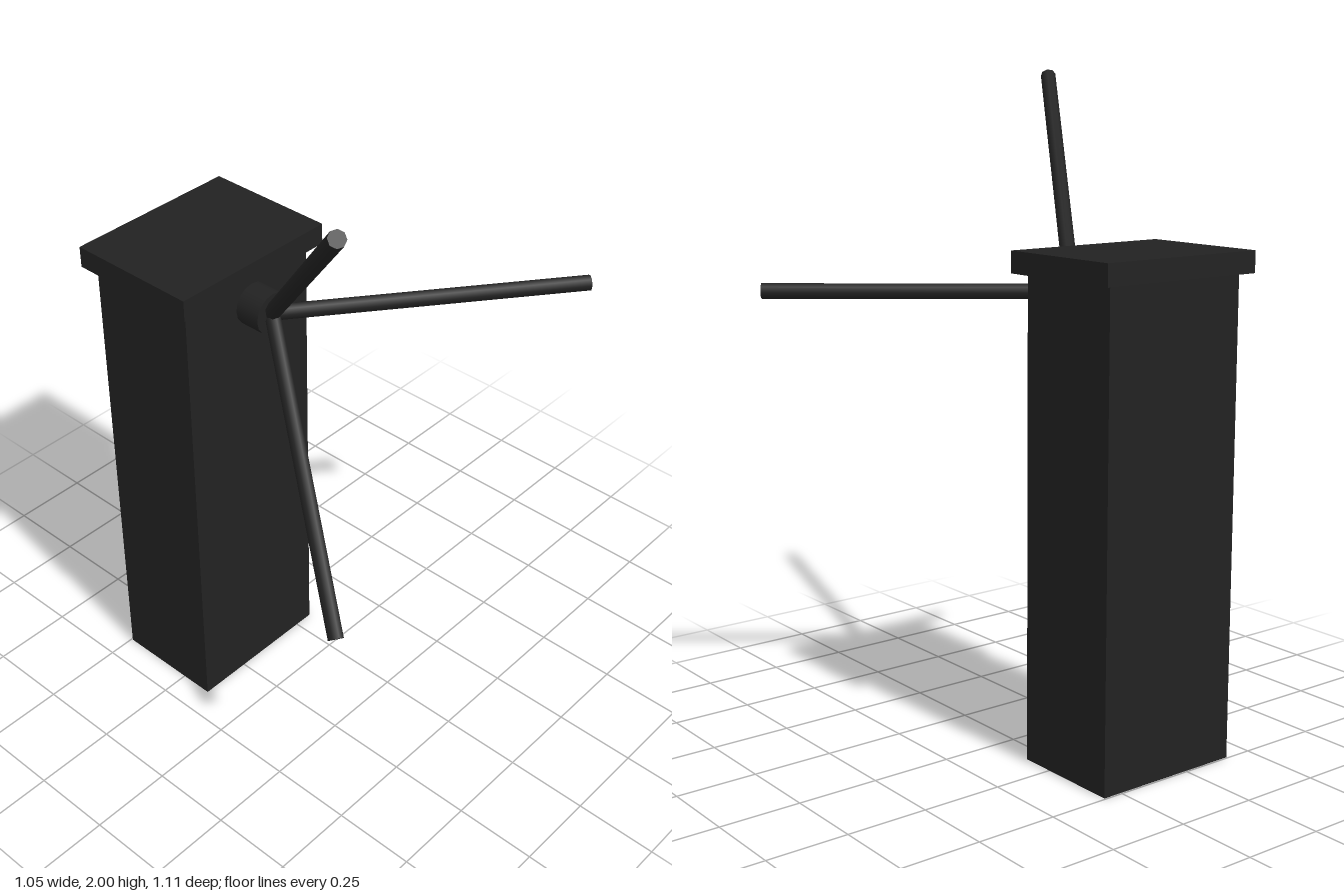
import * as THREE from 'three';

export function createModel() {
  const group = new THREE.Group();
  group.name = 'turnstile';

  const darkMetal = new THREE.MeshStandardMaterial({ color: 0x222222 });
  darkMetal.name = 'dark metal';

  const add = (name, geometry, x, y, z) => {
    const mesh = new THREE.Mesh(geometry, darkMetal);
    mesh.name = name;
    mesh.position.set(x, y, z);
    group.add(mesh);
    return mesh;
  };

  // Upright cabinet with an overhanging lid
  add('cabinet', new THREE.BoxGeometry(0.35, 1.44, 0.476), -0.32, 0.72, 0.177);
  add('lid', new THREE.BoxGeometry(0.412, 0.064, 0.542), -0.32, 1.472, 0.175);

  // Round hub on the cabinet's left side
  const hub = add('hub', new THREE.CylinderGeometry(0.063, 0.063, 0.08, 16), -0.09, 1.363, 0.175);
  hub.rotation.z = -Math.PI / 2;

  // Three bars splayed evenly around the hub axis
  const start = new THREE.Vector3(-0.055, 1.363, 0.175);
  const reach = 0.715;
  const up = new THREE.Vector3(0, 1, 0);
  for (let i = 0; i < 3; i++) {
    const a = (i * 2 * Math.PI) / 3;
    const tip = new THREE.Vector3(0.505, start.y + reach * Math.sin(a), start.z - reach * Math.cos(a));
    const along = tip.clone().sub(start);
    const mid = start.clone().add(tip).multiplyScalar(0.5);
    const bar = add('bar' + (i + 1), new THREE.CylinderGeometry(0.0235, 0.0235, along.length(), 8), mid.x, mid.y, mid.z);
    bar.quaternion.setFromUnitVectors(up, along.normalize());
  }

  return group;
}
